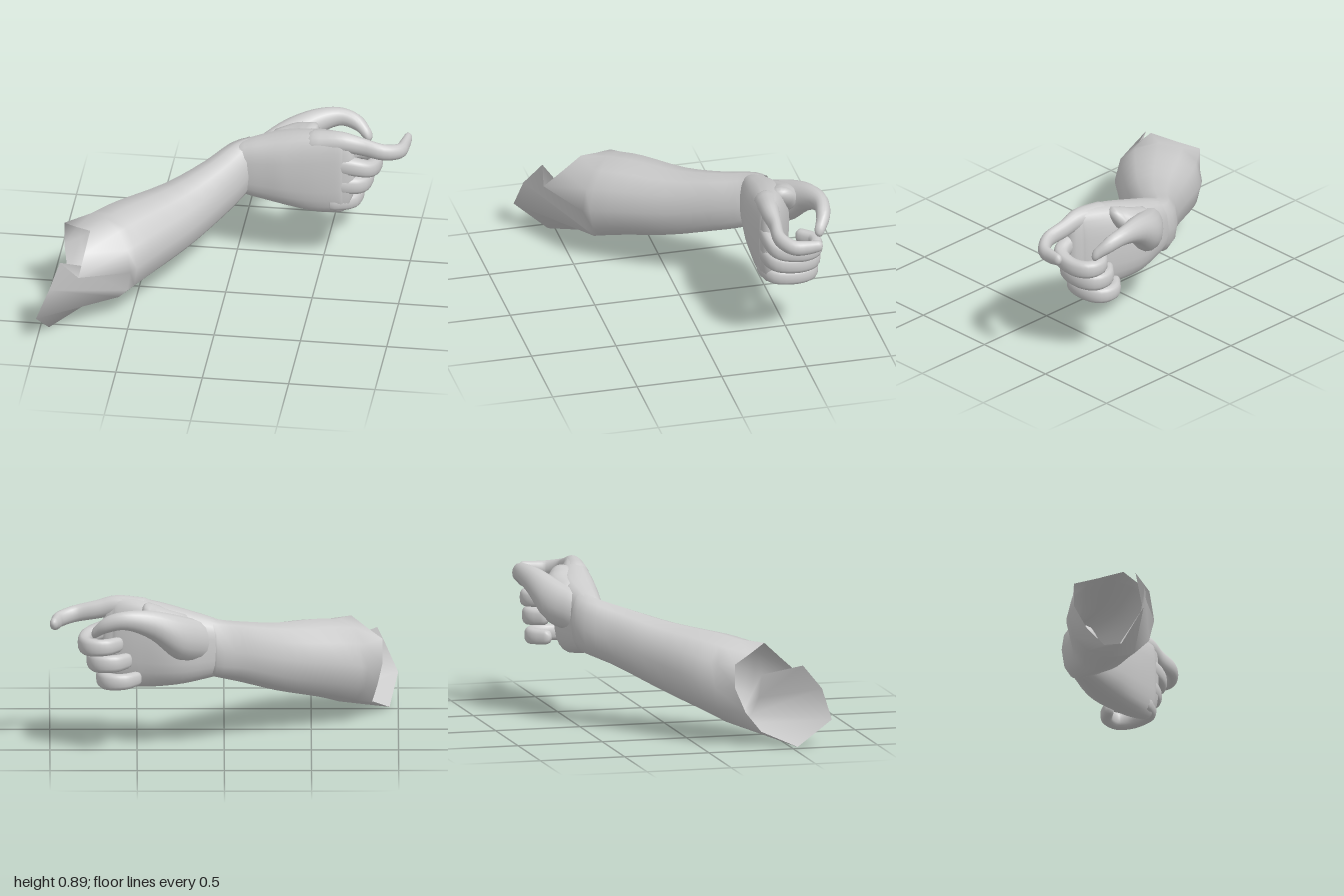
import * as THREE from 'three';

const material = new THREE.MeshStandardMaterial({ color: 0xcccccc, side: THREE.DoubleSide });
const V = (x, y, z) => new THREE.Vector3(x, y, z);
const UP = V(0, 1, 0);

// Sweeps an upright rounded section along stations [x, y, z, halfWidth, halfHeight].
// e < 1 squares the section; roundStart / roundEnd close the ends with domes; rim is a given first ring.
function sweep(name, stations, { steps = 20, sides = 16, e = 1, roundStart = false, roundEnd = true, rim = null } = {}) {
  const path = new THREE.CatmullRomCurve3(stations.map(s => V(s[0], s[1], s[2])));
  const size = new THREE.CatmullRomCurve3(stations.map(s => V(s[3], s[4], 0)));
  // matching parameters on both curves
  path.curveType = size.curveType = 'catmullrom';
  const rings = [];
  const ring = (t, scale = 1, push = 0) => {
    const tan = path.getTangent(t);
    const side = V(tan.x, 0, tan.z).normalize().cross(UP);
    const s = size.getPoint(t);
    const c = path.getPoint(t).addScaledVector(tan, push * Math.min(s.x, s.y));
    const pow = v => Math.sign(v) * Math.abs(v) ** e;
    const pts = [];
    for (let j = 0; j < sides; j++) {
      const a = (j / sides) * Math.PI * 2;
      pts.push(c.clone().addScaledVector(side, pow(Math.cos(a)) * s.x * scale)
        .addScaledVector(UP, pow(Math.sin(a)) * s.y * scale));
    }
    rings.push(pts);
  };
  const dome = [0.35, 0.65, 0.88, 1].map(k => k * Math.PI / 2);
  if (rim) rings.push(rim);
  if (roundStart) [...dome].reverse().forEach(a => ring(0, Math.cos(a), -Math.sin(a)));
  for (let i = 0; i <= steps; i++) ring(i / steps);
  if (roundEnd) dome.forEach(a => ring(1, Math.cos(a), Math.sin(a)));

  const index = [];
  for (let i = 0; i < rings.length - 1; i++) {
    for (let j = 0; j < sides; j++) {
      const k = (j + 1) % sides;
      const a = i * sides + j, b = a + sides, c = i * sides + k, d = c + sides;
      index.push(a, b, c, b, d, c);
    }
  }
  const geometry = new THREE.BufferGeometry().setFromPoints(rings.flat());
  geometry.setIndex(index);
  geometry.computeVertexNormals();
  const mesh = new THREE.Mesh(geometry, material);
  mesh.name = name;
  return mesh;
}

export function createModel() {
  const model = new THREE.Group();
  model.name = 'forearmAndHand';

  // Torn elbow edge, counted from the front side over the top, back and underside
  const rim = [
    [-0.88, 0.46, 0.59], [-0.77, 0.38, 0.61], [-0.75, 0.48, 0.5], [-0.73, 0.575, 0.4],
    [-0.82, 0.53, 0.29], [-0.91, 0.49, 0.18], [-0.91, 0.35, 0.18], [-0.88, 0.2, 0.25],
    [-0.85, 0.08, 0.35], [-0.95, 0.0, 0.54], [-1.0, 0.16, 0.73], [-0.93, 0.33, 0.69],
  ].map(p => V(...p));

  // Forearm, tapering from the elbow to the wrist
  model.add(sweep('forearm', [
    [-0.66, 0.345, 0.265, 0.25, 0.245],
    [-0.54, 0.385, 0.155, 0.237, 0.23],
    [-0.3, 0.445, -0.06, 0.178, 0.2],
    [-0.11, 0.52, -0.26, 0.135, 0.18],
    [0.01, 0.575, -0.415, 0.11, 0.172],
    [0.09, 0.6, -0.455, 0.095, 0.17],
  ], { steps: 15, sides: 12, e: 0.9, rim, roundEnd: false }));

  const hand = new THREE.Group();
  hand.name = 'hand';
  model.add(hand);

  // Palm and back of the hand
  hand.add(sweep('palm', [
    [0.03, 0.59, -0.43, 0.085, 0.16],
    [0.12, 0.595, -0.435, 0.105, 0.187],
    [0.28, 0.603, -0.44, 0.132, 0.226],
    [0.46, 0.612, -0.41, 0.11, 0.257],
    [0.6, 0.622, -0.385, 0.078, 0.258],
    [0.64, 0.625, -0.38, 0.06, 0.245],
  ], { sides: 24, e: 0.75, roundStart: true }));

  // Thumb with its fleshy base, arching behind the palm
  hand.add(sweep('thumb', [
    [0.14, 0.64, -0.475, 0.08, 0.12],
    [0.28, 0.69, -0.585, 0.095, 0.13],
    [0.42, 0.775, -0.655, 0.068, 0.085],
    [0.56, 0.81, -0.695, 0.046, 0.056],
    [0.67, 0.785, -0.682, 0.04, 0.05],
    [0.735, 0.735, -0.645, 0.03, 0.038],
  ], { roundStart: true }));

  // Web of flesh between thumb and index finger
  hand.add(sweep('thumbWeb', [
    [0.22, 0.68, -0.5, 0.09, 0.12],
    [0.34, 0.745, -0.52, 0.1, 0.095],
    [0.41, 0.79, -0.5, 0.08, 0.07],
  ], { steps: 8, roundStart: true }));

  // Index finger, stretched forward with a bent tip
  hand.add(sweep('indexFinger', [
    [0.46, 0.8, -0.4, 0.075, 0.075],
    [0.62, 0.822, -0.38, 0.055, 0.063],
    [0.74, 0.8, -0.382, 0.038, 0.055],
    [0.86, 0.775, -0.378, 0.036, 0.05],
    [0.945, 0.757, -0.435, 0.036, 0.046],
    [0.965, 0.755, -0.51, 0.031, 0.043],
    [0.976, 0.763, -0.578, 0.025, 0.035],
  ], { roundStart: true, steps: 24 }));

  // Three curled fingers: name, knuckle height, curled height, reach in x, half height
  [
    ['middleFinger', 0.695, 0.632, 0.84, 0.051],
    ['ringFinger', 0.565, 0.536, 0.79, 0.053],
    ['littleFinger', 0.445, 0.43, 0.735, 0.049],
  ].forEach(([name, y0, y1, reach, h]) => {
    hand.add(sweep(name, [
      [0.56, y0, -0.365, 0.05, h * 1.15],
      [reach - 0.14, (y0 * 2 + y1) / 3, -0.365, 0.045, h * 1.08],
      [reach - 0.06, (y0 + y1 * 3) / 4, -0.405, 0.043, h],
      [reach - 0.038, y1, -0.52, 0.038, h],
      [reach - 0.075, y1, -0.61, 0.038, h],
      [reach - 0.16, y1 + 0.003, -0.625, 0.036, h * 0.95],
      [reach - 0.23, y1 + 0.006, -0.565, 0.032, h * 0.85],
    ], { steps: 24, e: 0.8 }));
  });

  return model;
}
